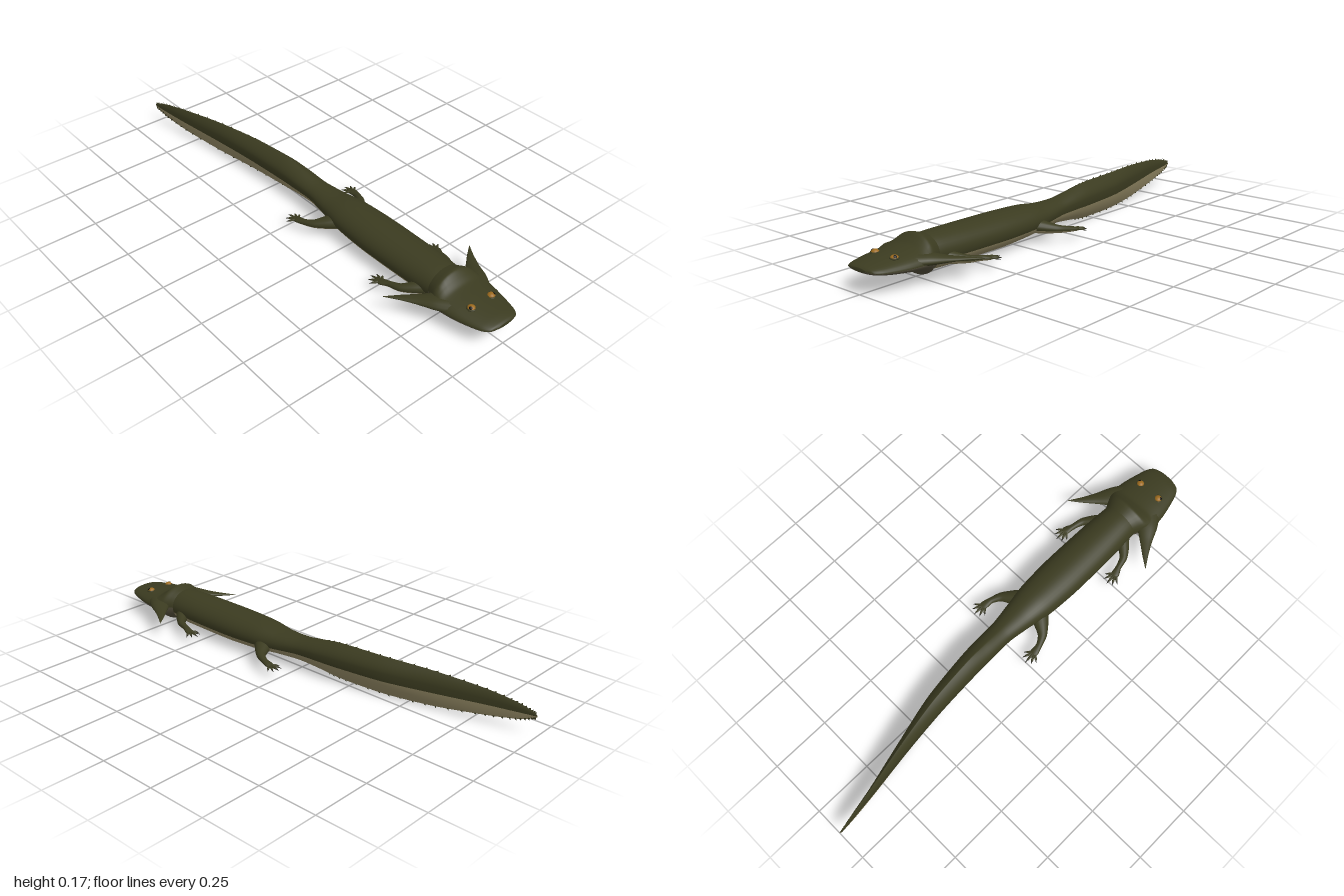
import * as THREE from 'three';

const mat = (name, color) => Object.assign(new THREE.MeshStandardMaterial({ color }), { name });

// Smooth curves through stations [x, edgeY, z, halfWidth, topY, bottomY]
function track(stations) {
  const centre = new THREE.CatmullRomCurve3(stations.map(s => new THREE.Vector3(s[0], s[1], s[2])), false, 'catmullrom', 0.4);
  const size = new THREE.CatmullRomCurve3(stations.map(s => new THREE.Vector3(s[3], s[4] - s[1], s[1] - s[5])), false, 'catmullrom', 0.4);
  return { centre, size };
}

// Skin of oval rings along a track; quads within `margin` degrees of the underside use material 1
function loft({ centre, size }, steps, segs, margin, pinch = () => 0) {
  const pos = [], top = [], under = [];
  for (let i = 0; i <= steps; i++) {
    const c = centre.getPoint(i / steps), d = size.getPoint(i / steps), t = centre.getTangent(i / steps);
    const len = Math.hypot(t.x, t.z), k = pinch(c.z);
    for (let j = 0; j < segs; j++) {
      const a = j / segs * Math.PI * 2, cs = Math.cos(a), sn = Math.sin(a);
      const w = Math.max(d.x, 0.0008) * cs * Math.pow(Math.abs(cs), k);
      pos.push(c.x + w * t.z / len, c.y + sn * Math.max(sn > 0 ? d.y : d.z, 0.0008), c.z - w * t.x / len);
    }
  }
  for (let i = 0; i < steps; i++) for (let j = 0; j < segs; j++) {
    const a = i * segs + j, b = i * segs + (j + 1) % segs;
    const deg = (j + 0.5) / segs * 360;
    (deg > 180 + margin && deg < 360 - margin ? under : top).push(a, b, a + segs, b, b + segs, a + segs);
  }
  // End caps
  for (const [u, base] of [[0, 0], [1, steps * segs]]) {
    const m = pos.length / 3;
    pos.push(...centre.getPoint(u).toArray());
    for (let j = 0; j < segs; j++) {
      const a = base + j, b = base + (j + 1) % segs;
      top.push(...(u ? [m, a, b] : [m, b, a]));
    }
  }
  const g = new THREE.BufferGeometry();
  g.setAttribute('position', new THREE.Float32BufferAttribute(pos, 3));
  g.setIndex([...top, ...under]);
  g.addGroup(0, top.length, 0);
  g.addGroup(top.length, under.length, 1);
  g.computeVertexNormals();
  return g;
}

export function createModel() {
  const model = new THREE.Group();
  const skin = mat('oliveSkin', 0x3b3b20), belly = mat('paleBelly', 0x8d8360), throat = mat('greyThroat', 0x4f4a38);
  const amber = mat('amberEye', 0x9c6a1e), dark = mat('darkPupil', 0x0d0c08), claw = mat('darkClaw', 0x24231a);
  const add = (name, geo, material, parent = model) => {
    const m = new THREE.Mesh(geo, material);
    m.name = name;
    parent.add(m);
    return m;
  };

  // Trunk and flattened, curving tail
  const trunk = track([
    [0, .09, .76, .075, .15, .025], [0, .09, .68, .082, .156, .018], [0, .09, .55, .088, .156, .017],
    [0, .09, .35, .09, .155, .017], [0, .09, .2, .082, .151, .026], [0, .092, .1, .065, .14, .035],
    [-.002, .1, 0, .05, .14, .036], [-.006, .108, -.1, .049, .155, .026], [-.012, .112, -.2, .046, .168, .014],
    [-.032, .113, -.4, .038, .168, .01], [-.068, .112, -.6, .023, .162, .016], [-.108, .108, -.8, .011, .144, .036],
    [-.128, .103, -.92, .006, .124, .056], [-.137, .096, -.98, .003, .106, .075], [-.138, .092, -1, .001, .094, .086],
  ]);
  add('trunkAndTail', loft(trunk, 120, 36, 20, z => THREE.MathUtils.smoothstep(-z, -.1, .3) * 0.9), [skin, belly]);

  // Saw-edged crest along the tail, above and below
  const crest = new THREE.Group();
  crest.name = 'tailCrest';
  model.add(crest);
  const tooth = new THREE.ConeGeometry(.012, .02, 4).scale(.2, 1, 1);
  for (let i = 0; i < 26; i++) {
    const u = .53 + .43 * i / 25, c = trunk.centre.getPoint(u), d = trunk.size.getPoint(u);
    for (const s of [1, -1]) {
      const m = add('crestTooth', tooth, skin, crest);
      m.position.set(c.x, c.y + s * (s > 0 ? d.y - .003 : d.z - .003), c.z);
      m.rotation.x = s > 0 ? -.5 : Math.PI + .5;
    }
  }

  // Broad flat head with a raised collar at the neck
  add('head', loft(track([
    [0, .09, .685, .07, .148, .03], [0, .09, .72, .088, .16, .02], [0, .088, .748, .104, .167, .014],
    [0, .086, .772, .114, .15, .032], [0, .085, .8, .119, .133, .046], [0, .084, .86, .112, .125, .055],
    [0, .085, .92, .098, .118, .063], [0, .087, .965, .084, .112, .072], [0, .09, .99, .066, .106, .08],
    [0, .093, 1, .035, .1, .087],
  ]), 60, 36, 0), [skin, throat]);

  for (const s of [1, -1]) {
    const side = s > 0 ? 'left' : 'right';

    // Swept-back cheek horn
    add(side + 'Horn', loft(track([
      [s * .055, .092, .815, .055, .12, .07], [s * .1, .092, .765, .043, .115, .075], [s * .14, .09, .715, .026, .102, .08],
      [s * .18, .088, .667, .013, .094, .083], [s * .222, .086, .622, .001, .087, .085],
    ]), 24, 16, 0), [skin, skin]);

    // Eye with lid ring and pupil
    const eye = new THREE.Group();
    eye.name = side + 'Eye';
    eye.position.set(s * .05, .115, .885);
    model.add(eye);
    add('eyeball', new THREE.SphereGeometry(.0155, 20, 14).scale(1, .85, 1), amber, eye);
    add('eyelid', new THREE.TorusGeometry(.0155, .0035, 8, 24).rotateX(Math.PI / 2), skin, eye).position.y = .001;
    const look = new THREE.Vector3(s * .6, .65, .3).normalize();
    const pupil = add('pupil', new THREE.SphereGeometry(.006, 12, 8).scale(1, 1, .3), dark, eye);
    pupil.position.copy(look).multiply(new THREE.Vector3(.0155, .0132, .0155));
    pupil.quaternion.setFromUnitVectors(new THREE.Vector3(0, 0, 1), look);

    // Legs, trailing backwards, with splayed toes
    const legs = {
      FrontLeg: [
        [s * .045, .07, .67, .034, .1, .042], [s * .085, .064, .64, .024, .086, .042], [s * .118, .058, .605, .016, .073, .043],
        [s * .132, .053, .56, .012, .064, .042], [s * .142, .049, .53, .017, .057, .041], [s * .145, .047, .512, .01, .051, .042],
      ],
      HindLeg: [
        [s * .035, .074, .18, .042, .106, .042], [s * .082, .066, .148, .03, .09, .042], [s * .118, .06, .118, .019, .076, .043],
        [s * .138, .054, .08, .013, .066, .042], [s * .145, .05, .045, .017, .058, .041], [s * .147, .047, .028, .01, .051, .042],
      ],
    };
    for (const [name, stations] of Object.entries(legs)) {
      const leg = new THREE.Group();
      leg.name = side + name;
      model.add(leg);
      add('limb', loft(track(stations), 24, 18, 20), [skin, belly], leg);
      const [x, , z] = stations[4];
      for (const [angle, len] of [[-.85, .038], [-.4, .046], [.05, .05], [.5, .046], [.95, .04]]) {
        const dx = s * Math.sin(angle), dz = -Math.cos(angle);
        const at = (r, y, w) => [x + dx * r, y, z + dz * r, w, y + w * .9, y - w * .7];
        add('toe', loft(track([at(.004, .049, .006), at(len * .5, .048, .0055), at(len * .85, .046, .004)]), 6, 8, 0), [skin, skin], leg);
        add('claw', loft(track([at(len * .8, .046, .0035), at(len, .044, .002), at(len * 1.12, .042, .0005)]), 4, 8, 0), [claw, claw], leg);
      }
    }
  }
  return model;
}
